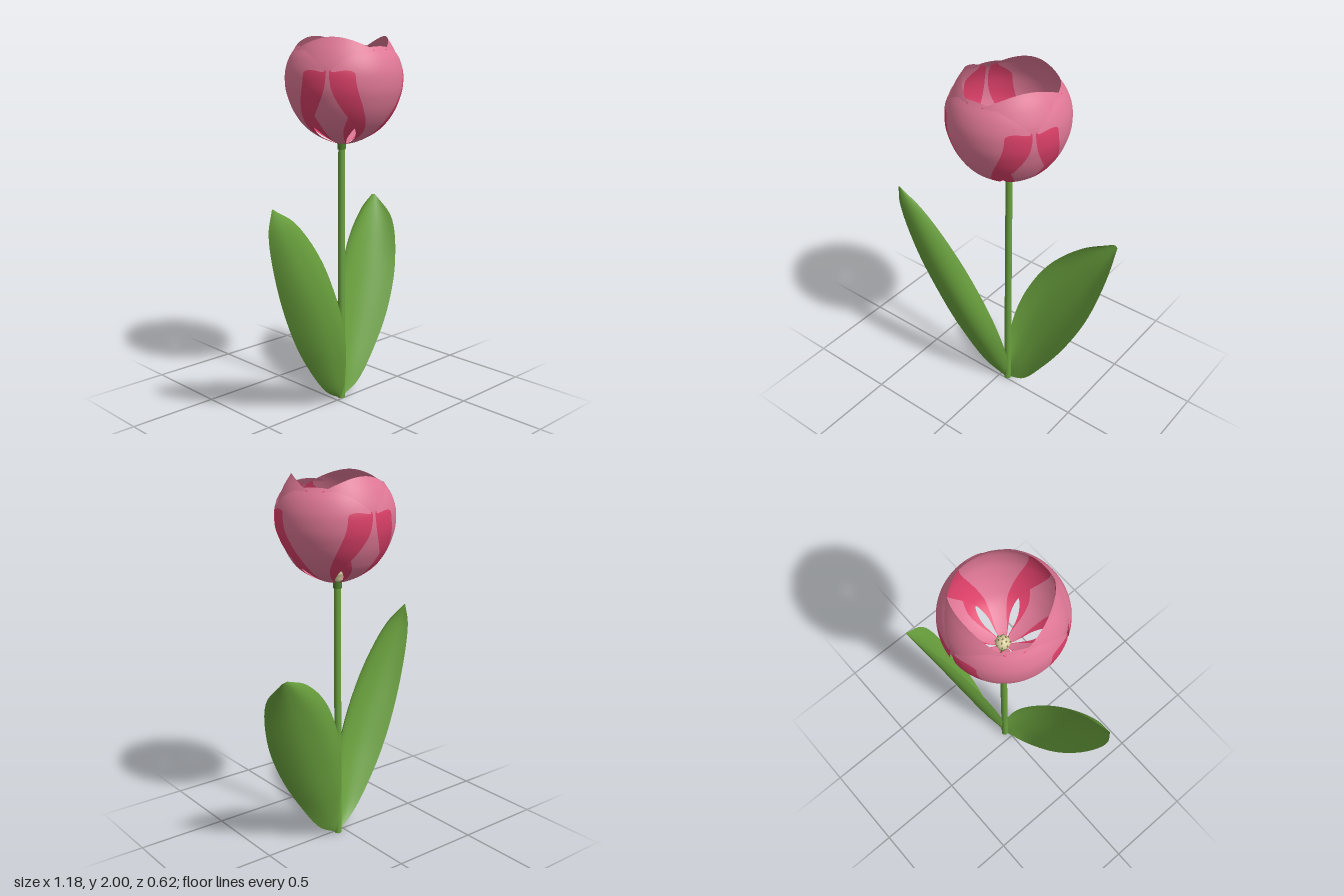
import * as THREE from 'three';

const mat = (name, color, side = THREE.FrontSide) => {
  const m = new THREE.MeshStandardMaterial({ color, side });
  m.name = name;
  return m;
};

// Open sheet from a point rule f(column, row); materialOf(column) picks the group
function sheet(cols, rows, f, materialOf = () => 0) {
  const pos = [], index = [];
  const g = new THREE.BufferGeometry();
  for (let j = 0; j <= rows; j++)
    for (let i = 0; i <= cols; i++) pos.push(...f(i, j / rows));
  const w = cols + 1;
  for (let i = 0; i < cols; i++) {
    g.addGroup(index.length, rows * 6, materialOf(i));
    for (let j = 0; j < rows; j++) {
      const a = j * w + i;
      index.push(a, a + 1, a + w + 1, a, a + w + 1, a + w);
    }
  }
  g.setAttribute('position', new THREE.Float32BufferAttribute(pos, 3));
  g.setIndex(index);
  g.computeVertexNormals();
  return g;
}

const curve = pts => new THREE.CatmullRomCurve3(pts.map(p => new THREE.Vector3(...p)));

// Petal profiles: radius, height above the flower base, half angle
const petalFoot = [[0.015, 0, 0.5], [0.07, 0.014, 0.42], [0.13, 0.04, 0.38], [0.192, 0.082, 0.46]];
const outerProfile = curve([...petalFoot,
  [0.248, 0.148, 0.66], [0.288, 0.23, 0.87], [0.307, 0.31, 0.99], [0.305, 0.385, 1.02], [0.284, 0.45, 1], [0.245, 0.51, 0.95]]);
const innerProfile = curve([...petalFoot,
  [0.242, 0.148, 0.66], [0.28, 0.235, 0.87], [0.297, 0.32, 0.99], [0.291, 0.405, 1.02], [0.261, 0.485, 1], [0.218, 0.557, 0.95]]);

// drop and power lower the rim towards the petal's sides; bandEnd sets where the crimson stops at the rim
function petalGeometry(profile, drop, power, bandEnd) {
  const { smoothstep } = THREE.MathUtils;
  const side = 6, mid = 18, cols = side * 2 + mid;
  return sheet(cols, 56, (i, v) => {
    // pink centre spans -c..c, crimson bands lie outside it
    const low = 0.9 - 0.4 * smoothstep(v, 0.08, 0.42) + 0.08 * smoothstep(v, 0.45, 0.8);
    const c = low + (bandEnd - low) * smoothstep(v, 0.81, 0.99);
    let u;
    if (i < side) u = -1 + (1 - c) * i / side;
    else if (i <= side + mid) u = -c + 2 * c * (i - side) / mid;
    else u = c + (1 - c) * (i - side - mid) / side;
    const p = profile.getPoint(v * (1 - drop * Math.abs(u) ** power));
    const a = p.z * u;
    return [p.x * Math.sin(a), p.y, p.x * Math.cos(a)];
  }, i => (i < side || i >= side + mid ? 1 : 0));
}

// Cupped leaf blade: left edge, midrib and right edge curves joined by a full U section
function leafGeometry(left, middle, right) {
  const [L, M, R] = [left, middle, right].map(curve);
  const cols = 18;
  return sheet(cols, 40, (i, v) => {
    const u = i / cols * 2 - 1;
    const l = L.getPoint(v), r = R.getPoint(v);
    const bulge = M.getPoint(v).addScaledVector(l, -0.5).addScaledVector(r, -0.5);
    return l.lerp(r, (u + 1) / 2).addScaledVector(bulge, 1 - Math.abs(u) ** 2.5).toArray();
  });
}

export function createModel() {
  const green = mat('leafGreen', 0x69a03d, THREE.DoubleSide);
  const darkGreen = mat('collarGreen', 0x4f7d2c);
  const pink = mat('petalPink', 0xe07896, THREE.DoubleSide);
  const crimson = mat('petalCrimson', 0xdc4069, THREE.DoubleSide);
  const cream = mat('pistilCream', 0xd9d0a0);
  const olive = mat('antherOlive', 0x77713f);

  const model = new THREE.Group();
  model.name = 'tulip';
  const add = (parent, name, geometry, material, x = 0, y = 0, z = 0) => {
    const m = new THREE.Mesh(geometry, material);
    m.name = name;
    m.position.set(x, y, z);
    parent.add(m);
    return m;
  };

  // Stem and collar
  const X = 0.048, Z = -0.017;
  add(model, 'stem', new THREE.CylinderGeometry(0.018, 0.02, 1.43, 20), green, X, 0.72, Z);
  add(model, 'collar', new THREE.CylinderGeometry(0.024, 0.022, 0.04, 20), darkGreen, X, 1.433, Z);

  // Flower: three outer petals, three inner petals
  const flower = new THREE.Group();
  flower.name = 'flower';
  flower.position.set(0.052, 1.443, -0.004);
  model.add(flower);
  const outer = petalGeometry(outerProfile, 0.21, 2.4, 0.975);
  const inner = petalGeometry(innerProfile, 0.125, 2, 0.86);
  for (let k = 0; k < 3; k++) {
    const a = k * Math.PI * 2 / 3;
    add(flower, 'outerPetal', outer, [pink, crimson]).rotation.y = a;
    add(flower, 'innerPetal', inner, [pink, crimson]).rotation.y = a + Math.PI;
  }

  // Pistil with small anthers
  const pistil = new THREE.Group();
  pistil.name = 'pistil';
  pistil.position.set(X, 1.443, Z);
  model.add(pistil);
  const body = [[0, 0], [0.02, 0], [0.022, 0.025], [0.034, 0.042], [0.038, 0.058], [0.031, 0.078], [0.016, 0.09], [0, 0.093]];
  add(pistil, 'pistilBody', new THREE.LatheGeometry(body.map(p => new THREE.Vector2(...p)), 24), cream);
  const dot = new THREE.SphereGeometry(0.005, 8, 6);
  add(pistil, 'anther', dot, olive, 0, 0.093, 0);
  for (const [n, r, y] of [[5, 0.02, 0.088], [8, 0.035, 0.068]])
    for (let k = 0; k < n; k++) {
      const a = k / n * Math.PI * 2;
      add(pistil, 'anther', dot, olive, r * Math.sin(a), y, r * Math.cos(a));
    }

  // Leaves
  add(model, 'tallLeaf', leafGeometry(
    [[0.03, 0.008, -0.01], [-0.1, 0.09, 0.015], [-0.27, 0.3, 0.04], [-0.39, 0.5, 0.065], [-0.52, 0.8, 0.105], [-0.592, 1.08, 0.138], [-0.58, 1.195, 0.15]],
    [[0.04, 0.006, -0.01], [-0.02, 0.13, 0.045], [-0.12, 0.35, 0.115], [-0.22, 0.57, 0.158], [-0.38, 0.86, 0.182], [-0.51, 1.1, 0.174], [-0.573, 1.2, 0.15]],
    [[0.055, 0.008, -0.01], [0.062, 0.15, 0], [0.025, 0.36, 0.035], [-0.07, 0.61, 0.072], [-0.23, 0.89, 0.112], [-0.425, 1.11, 0.14], [-0.565, 1.195, 0.15]],
  ), green);
  add(model, 'shortLeaf', leafGeometry(
    [[0.035, 0.008, -0.02], [0.05, 0.15, -0.03], [0.045, 0.36, -0.045], [0.1, 0.62, -0.09], [0.225, 0.86, -0.147], [0.39, 1.01, -0.208], [0.54, 1.073, -0.262]],
    [[0.045, 0.006, -0.02], [0.09, 0.11, -0.04], [0.16, 0.3, -0.09], [0.26, 0.54, -0.142], [0.38, 0.78, -0.192], [0.495, 0.965, -0.233], [0.558, 1.072, -0.265]],
    [[0.055, 0.008, -0.02], [0.165, 0.065, -0.01], [0.3, 0.24, -0.005], [0.43, 0.45, -0.02], [0.537, 0.69, -0.065], [0.59, 0.94, -0.145], [0.572, 1.065, -0.26]],
  ), green);

  return model;
}
